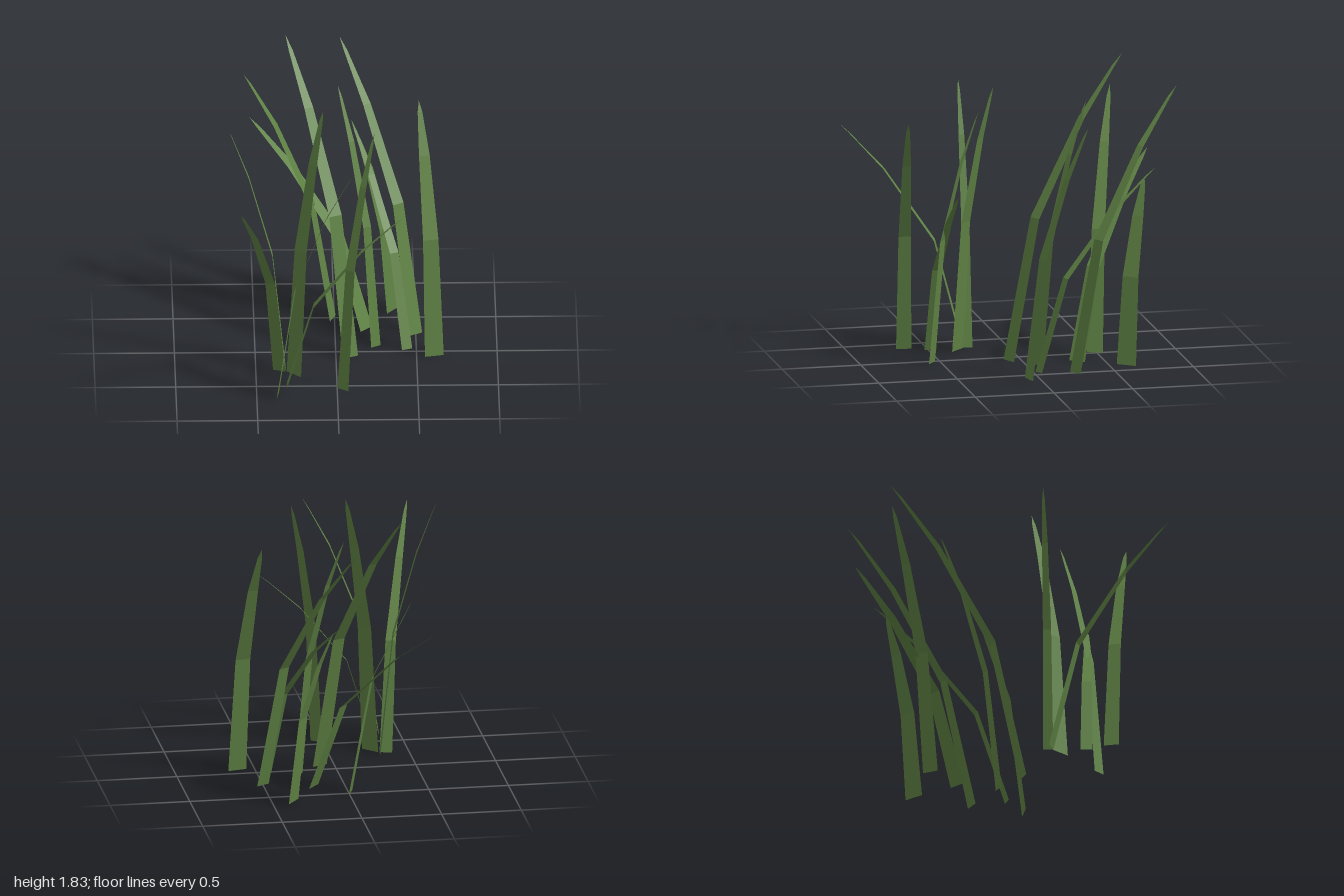
import * as THREE from 'three';

// Each blade: base x, base z, tip x, tip y, tip z, base width
const BLADES = [
  [0.61, 0.07, 0.52, 1.56, -0.33, 0.12],
  [0.09, 0.08, -0.30, 1.83, -0.73, 0.105],
  [0.50, -0.25, 0.04, 1.69, -1.0, 0.095],
  [0.25, -0.075, 0.02, 1.62, -0.43, 0.07],
  [-0.01, -0.49, -0.56, 1.57, -0.71, 0.1],
  [0.195, -0.33, -0.52, 1.17, -0.94, 0.11],
  [0.365, -0.605, 0.14, 1.14, -0.77, 0.13],
  [0.443, -0.03, 0.11, 1.19, -0.85, 0.07],
  [-0.265, 0.325, -0.08, 1.71, 0.14, 0.125],
  [0.035, 0.555, 0.235, 1.63, 0.305, 0.085],
  [-0.31, 0.487, 0.41, 1.13, 0.472, 0.075],
  [-0.37, 0.643, 0.10, 1.54, 0.72, 0.095],
  [-0.315, 0.25, -0.67, 1.63, 0.23, 0.063],
  [-0.355, 0.27, -0.605, 1.40, 1.0, 0.08],
];

// Rows along a blade: height, lean and width, as fractions of the full values
const ROWS = [
  [0, 0, 1],
  [0.48, 0.23, 0.82],
  [0.8, 0.64, 0.57],
  [0.96, 0.92, 0.25],
  [1, 1, 0],
];

// Flat ribbon that bends over in the direction of its tip
function bladeGeometry([bx, bz, tx, ty, tz, width]) {
  const dx = tx - bx, dz = tz - bz, len = Math.hypot(dx, dz);
  const sx = -dz / len, sz = dx / len;
  const positions = [], index = [];
  ROWS.forEach(([h, lean, w], i) => {
    for (const side of [-0.5, 0.5]) {
      const o = side * w * width;
      positions.push(bx + dx * lean + sx * o, ty * h, bz + dz * lean + sz * o);
    }
    if (i === 0) return;
    const a = 2 * (i - 1);
    index.push(a, a + 1, a + 2);
    if (w > 0) index.push(a + 1, a + 3, a + 2);
  });
  const geometry = new THREE.BufferGeometry();
  geometry.setAttribute('position', new THREE.Float32BufferAttribute(positions, 3));
  geometry.setIndex(index);
  geometry.computeVertexNormals();
  return geometry;
}

export function createModel() {
  const grass = new THREE.MeshStandardMaterial({ color: 0x5f8244, side: THREE.DoubleSide, flatShading: true });
  grass.name = 'grass green';
  const group = new THREE.Group();
  group.name = 'grassTuft';
  BLADES.forEach((blade, i) => {
    const mesh = new THREE.Mesh(bladeGeometry(blade), grass);
    mesh.name = `grassBlade${i + 1}`;
    group.add(mesh);
  });
  return group;
}
